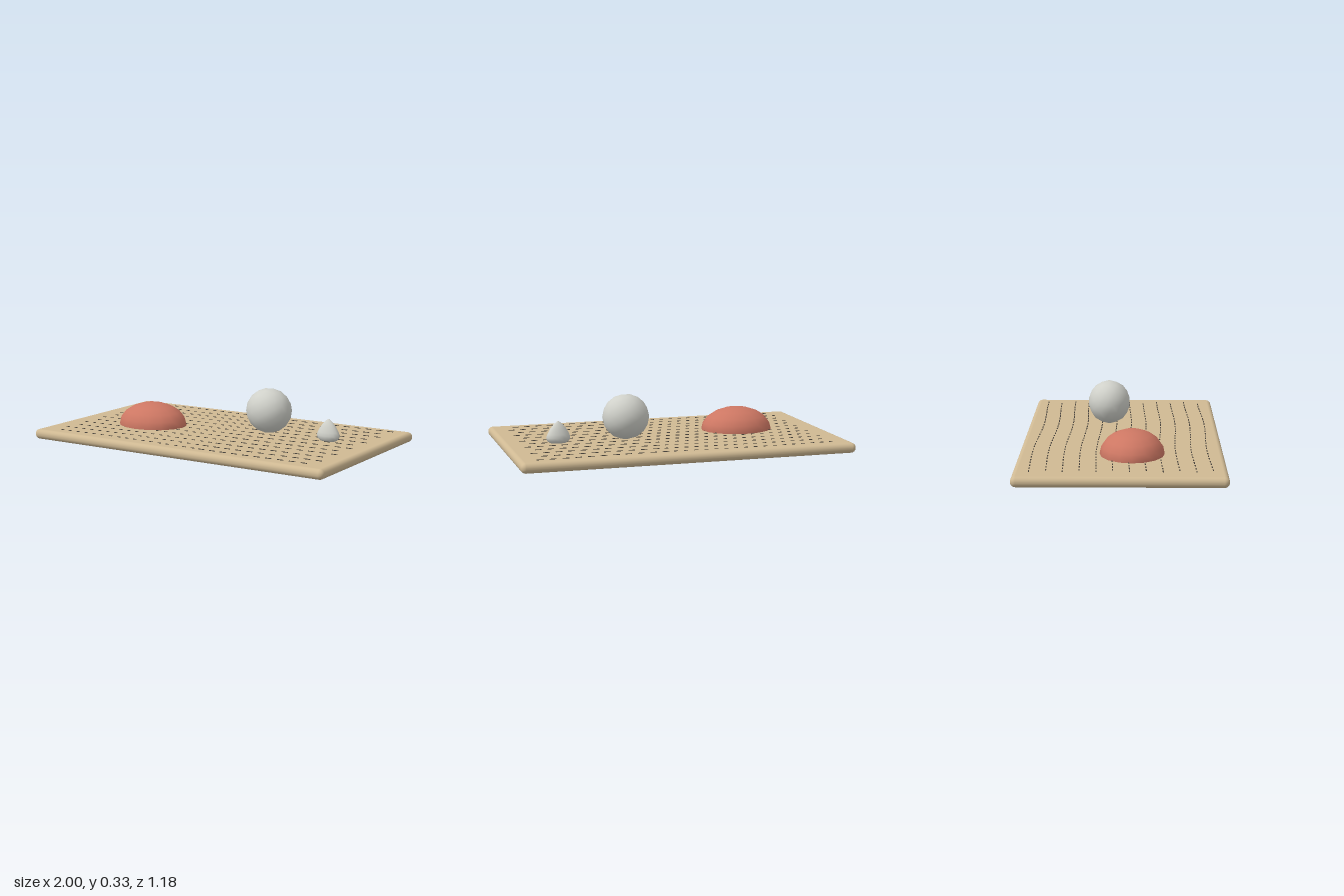
import * as THREE from 'three';
import { RoundedBoxGeometry } from 'three/addons/geometries/RoundedBoxGeometry.js';

const BOARD_TOP = 0.06;

function flat(name, color) {
  const m = new THREE.MeshStandardMaterial({ color });
  m.name = name;
  return m;
}

export function createModel() {
  const sand = flat('sand', 0xcfb993);
  const coral = flat('coral', 0xcd7763);
  const stone = flat('pale stone', 0xd0d1ca);
  const ink = flat('dark ink', 0x4a443c);
  const model = new THREE.Group();

  function add(name, geometry, material, x, y, z, parent = model) {
    const mesh = new THREE.Mesh(geometry, material);
    mesh.name = name;
    mesh.position.set(x, y, z);
    parent.add(mesh);
    return mesh;
  }

  // Board with fully rounded edges
  add('board', new RoundedBoxGeometry(2, 0.06, 1.18, 4, 0.029), sand, 0, 0.03, 0);

  // Half-buried oval dome
  const dome = new THREE.SphereGeometry(1, 16, 5, 0, Math.PI * 2, 0, Math.PI / 2);
  dome.scale(0.222, 0.14, 0.187);
  add('dome', dome, coral, -0.477, BOARD_TOP, 0.063);

  // Ball resting on the board
  const ball = new THREE.IcosahedronGeometry(1, 2);
  ball.scale(0.141, 0.136, 0.13);
  add('ball', ball, stone, 0.276, 0.2, -0.085);

  // Small flattened drop with a pointed tip
  const profile = [
    [0, 0], [0.05, 0.004], [0.068, 0.018], [0.072, 0.036],
    [0.066, 0.056], [0.048, 0.088], [0.026, 0.115], [0, 0.135],
  ].map(([r, y]) => new THREE.Vector2(r, y));
  const drop = new THREE.LatheGeometry(profile, 16);
  drop.scale(1, 1, 0.63);
  add('drop', drop, stone, 0.685, BOARD_TOP, -0.075);

  // Rows of gently waving dashes, staggered on alternate rows
  const rows = new THREE.Group();
  rows.name = 'rakedLines';
  model.add(rows);
  const wave = (x) => -0.008 * Math.cos((2 * Math.PI * (x + 0.4)) / 1.3);
  for (let row = 0; row < 12; row++) {
    const z = -0.503 + row * 0.0915;
    let x = row % 2 ? -0.84 : -0.87;
    while (x < 0.89) {
      // Dashes lengthen toward the right-hand end of the row
      const length = x < 0.15 ? 0.022 : 0.038;
      const dash = add('dash', new THREE.BoxGeometry(length, 0.004, 0.006), ink,
        x, BOARD_TOP + 0.001, z + wave(x), rows);
      dash.rotation.y = -Math.atan2(wave(x + 0.01) - wave(x - 0.01), 0.02);
      x += x < 0.15 ? 0.06 : 0.073;
    }
  }

  return model;
}
